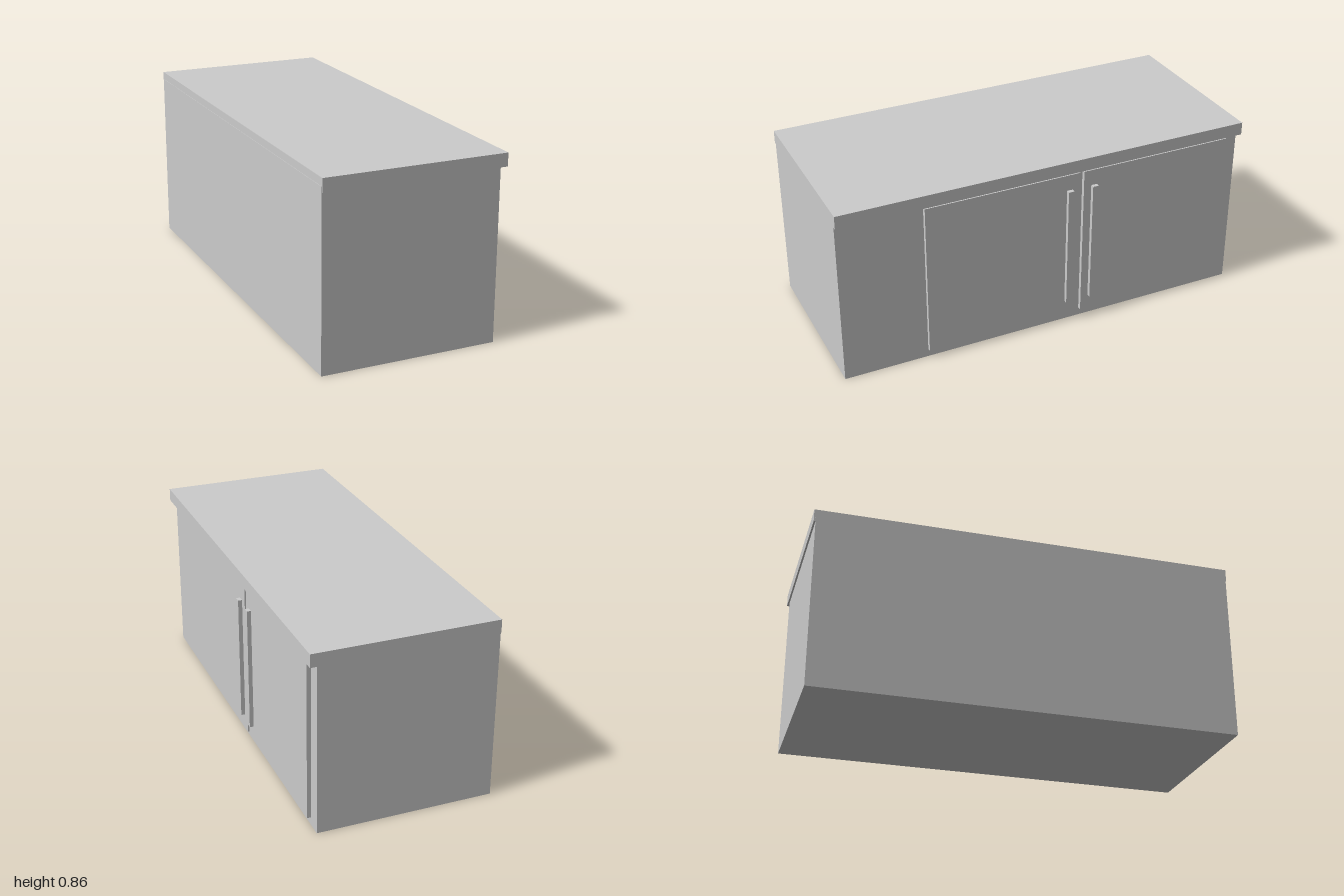
import * as THREE from 'three';

const material = new THREE.MeshStandardMaterial({ color: 0xcccccc, flatShading: true });

// Box given by its minimum and maximum along each axis
function box(name, [x0, x1], [y0, y1], [z0, z1]) {
  const mesh = new THREE.Mesh(new THREE.BoxGeometry(x1 - x0, y1 - y0, z1 - z0), material);
  mesh.position.set((x0 + x1) / 2, (y0 + y1) / 2, (z0 + z1) / 2);
  mesh.name = name;
  return mesh;
}

export function createModel() {
  const group = new THREE.Group();
  group.name = 'baseCabinet';

  // Carcass, its top edge rising into the worktop
  group.add(box('cabinetBody', [-0.432, 0.392], [0, 0.825], [-0.992, 0.996]));
  group.add(box('worktop', [-0.43, 0.424], [0.8, 0.861], [-1, 1]));

  // Pair of doors mirrored about their meeting line, each with a bar handle
  const middle = -0.166;
  for (const [side, s] of [['left', -1], ['right', 1]]) {
    const span = (a, b) => [middle + s * a, middle + s * b].sort((p, q) => p - q);
    group.add(box(side + 'Door', [0.39, 0.411], [0.04, 0.788], span(0.01, 0.761)));
    group.add(box(side + 'Handle', [0.41, 0.43], [0.115, 0.711], span(0.047, 0.076)));
  }
  return group;
}
